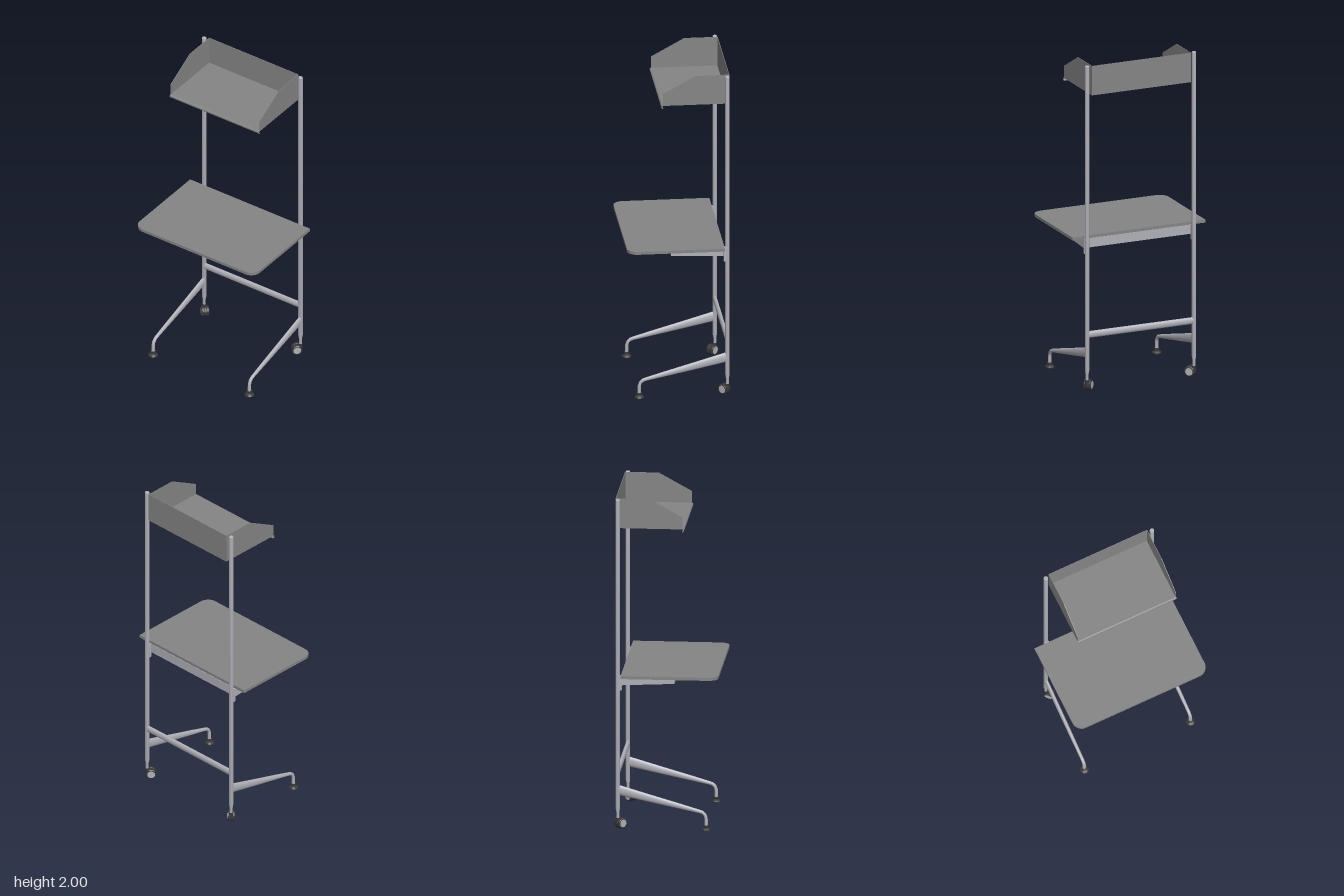
import * as THREE from 'three';
import { toCreasedNormals } from 'three/addons/utils/BufferGeometryUtils.js';

const paint = (color) => new THREE.MeshStandardMaterial({ color, side: THREE.DoubleSide });
const BOARD = paint(0x858585), FRAME = paint(0xb0b0b8), RUBBER = paint(0x383838);

const POLE_X = 0.347, POLE_Z = -0.288;

function add(parent, name, material, geometry, x = 0, y = 0, z = 0) {
  const mesh = new THREE.Mesh(geometry, material);
  mesh.name = name;
  mesh.position.set(x, y, z);
  parent.add(mesh);
  return mesh;
}

// Side profile of [z, y] points, extruded to a given width centred on x = 0
function sideExtrude(points, width) {
  const shape = new THREE.Shape(points.map(([z, y]) => new THREE.Vector2(z, y)));
  const g = new THREE.ExtrudeGeometry(shape, { depth: width, bevelEnabled: false });
  return g.rotateY(-Math.PI / 2).translate(width / 2, 0, 0);
}

// Lathe from [radius, y] points with sharp edges kept
function turned(points, segments = 24) {
  const g = new THREE.LatheGeometry(points.map(([r, y]) => new THREE.Vector2(r, y)), segments);
  return toCreasedNormals(g, 0.6);
}

// Oval tube through sections [z, y, half height, half width, tilt]
function loft(sections, n = 20) {
  const pos = [], index = [];
  sections.forEach(([z, y, h, w, tilt], s) => {
    for (let i = 0; i < n; i++) {
      const a = (i / n) * Math.PI * 2, v = Math.sin(a) * h;
      pos.push(Math.cos(a) * w, y + v * Math.cos(tilt), z + v * Math.sin(tilt));
      if (s === 0) continue;
      const j = (i + 1) % n, p = (s - 1) * n, q = s * n;
      index.push(p + i, p + j, q + j, p + i, q + j, q + i);
    }
  });
  const g = new THREE.BufferGeometry();
  g.setAttribute('position', new THREE.Float32BufferAttribute(pos, 3));
  g.setIndex(index);
  g.computeVertexNormals();
  return g;
}

// Twin-wheel caster, rolling along its local z
function makeCaster() {
  const caster = new THREE.Group();
  caster.name = 'caster';
  for (const s of [-1, 1]) {
    const tyre = turned([[0, -0.0105], [0.028, -0.0105], [0.032, -0.007], [0.032, 0.007],
      [0.028, 0.0105], [0.023, 0.0105]]);
    add(caster, 'tyre', RUBBER, tyre, s * 0.0125, 0.032, 0).rotation.z = -s * Math.PI / 2;
    const hub = new THREE.CylinderGeometry(0.023, 0.023, 0.004, 24);
    add(caster, 'hub', FRAME, hub, s * 0.0212, 0.032, 0).rotation.z = Math.PI / 2;
  }
  // Hood between the wheels and its swivel socket
  const hood = new THREE.CylinderGeometry(0.031, 0.031, 0.008, 24);
  add(caster, 'hood', RUBBER, hood, 0, 0.032, 0).rotation.z = Math.PI / 2;
  add(caster, 'socket', RUBBER, new THREE.CylinderGeometry(0.011, 0.013, 0.034, 16), 0, 0.05, -0.023);
  return caster;
}

function makeSide(s) {
  const side = new THREE.Group();
  side.name = s > 0 ? 'leftFrame' : 'rightFrame';
  side.position.x = s * POLE_X;

  // Upright with a slimmer stem at the bottom
  add(side, 'upright', FRAME, turned([[0, 0.05], [0.009, 0.05], [0.009, 0.1], [0.0135, 0.125],
    [0.0135, 1.997], [0.011, 2], [0, 2]]), 0, 0, POLE_Z);

  // Tapering leg that bends down to the front foot
  add(side, 'leg', FRAME, loft([
    [-0.285, 0.236, 0.031, 0.0115, 0], [-0.1, 0.189, 0.0235, 0.0115, 0],
    [0.08, 0.144, 0.016, 0.011, 0.1], [0.19, 0.116, 0.011, 0.010, 0.25],
    [0.212, 0.109, 0.0105, 0.010, 0.5], [0.227, 0.095, 0.010, 0.010, 0.9],
    [0.234, 0.075, 0.010, 0.010, 1.35], [0.235, 0.03, 0.010, 0.010, Math.PI / 2],
  ]));
  add(side, 'foot', RUBBER, turned([[0, 0], [0.028, 0], [0.029, 0.006], [0.024, 0.012], [0.012, 0.018],
    [0.012, 0.022], [0.017, 0.024], [0.017, 0.032], [0, 0.034]]), 0, 0, 0.235);

  // Caster turned so that it trails inwards and forwards
  const caster = makeCaster();
  caster.position.set(-s * 0.0165, 0, POLE_Z + 0.0165);
  caster.rotation.y = -s * Math.PI / 4;
  side.add(caster);

  // Clamp holding the table on the upright
  add(side, 'tableClamp', FRAME, new THREE.BoxGeometry(0.026, 0.088, 0.016), 0, 0.886, -0.273);
  return side;
}

function makeTable() {
  const table = new THREE.Group();
  table.name = 'table';

  // Top with rounded front corners
  const w = 0.432, back = -0.265, front = 0.31, r = 0.06;
  const shape = new THREE.Shape();
  shape.moveTo(-w, -back);
  shape.lineTo(-w, -front + r);
  shape.absarc(-w + r, -front + r, r, Math.PI, Math.PI * 1.5, false);
  shape.lineTo(w - r, -front);
  shape.absarc(w - r, -front + r, r, Math.PI * 1.5, Math.PI * 2, false);
  shape.lineTo(w, -back);
  shape.closePath();
  const top = new THREE.ExtrudeGeometry(shape, { depth: 0.018, bevelEnabled: false, curveSegments: 12 });
  top.rotateX(-Math.PI / 2);
  add(table, 'tableTop', BOARD, toCreasedNormals(top, 0.5), 0, 0.93, 0);

  // Wedge-shaped support beneath the top
  const wedge = [[-0.268, 0.874], [0.048, 0.889], [0.048, 0.93], [-0.268, 0.93]];
  add(table, 'tableSupport', FRAME, sideExtrude(wedge, 0.718));
  return table;
}

function makeShelf() {
  const shelf = new THREE.Group();
  shelf.name = 'shelf';
  const halfW = 0.322, t = 0.003;
  add(shelf, 'shelfFloor', BOARD, new THREE.BoxGeometry(halfW * 2, t, 0.395), 0, 1.8205, -0.1055);
  add(shelf, 'shelfBack', BOARD, new THREE.BoxGeometry(halfW * 2, 0.181, t), 0, 1.9095, -0.3015);
  for (const s of [-1, 1]) {
    add(shelf, 'shelfEnd', BOARD, sideExtrude([[-0.303, 1.819], [0.092, 1.819], [0.092, 1.893],
      [-0.103, 2], [-0.303, 2]], t), s * (halfW - t / 2));
  }
  // Rolled lip along the front edge, a thin arc in section
  const outer = [], inner = [];
  for (let i = 0; i <= 10; i++) {
    const a = Math.PI / 2 - (i / 10) * Math.PI * 1.05;
    outer.push([0.091 + 0.0105 * Math.cos(a), 1.8115 + 0.0105 * Math.sin(a)]);
    inner.unshift([0.091 + 0.0085 * Math.cos(a), 1.8115 + 0.0085 * Math.sin(a)]);
  }
  add(shelf, 'shelfLip', BOARD, toCreasedNormals(sideExtrude([...outer, ...inner], halfW * 2), 0.6));
  return shelf;
}

export function createModel() {
  const model = new THREE.Group();
  model.name = 'standingDesk';
  model.add(makeSide(1), makeSide(-1), makeTable(), makeShelf());

  // Oval bar joining the uprights
  const bar = new THREE.CylinderGeometry(0.021, 0.021, POLE_X * 2, 24);
  bar.rotateZ(Math.PI / 2).scale(1, 1, 0.6);
  add(model, 'crossbar', FRAME, bar, 0, 0.345, POLE_Z);
  return model;
}
